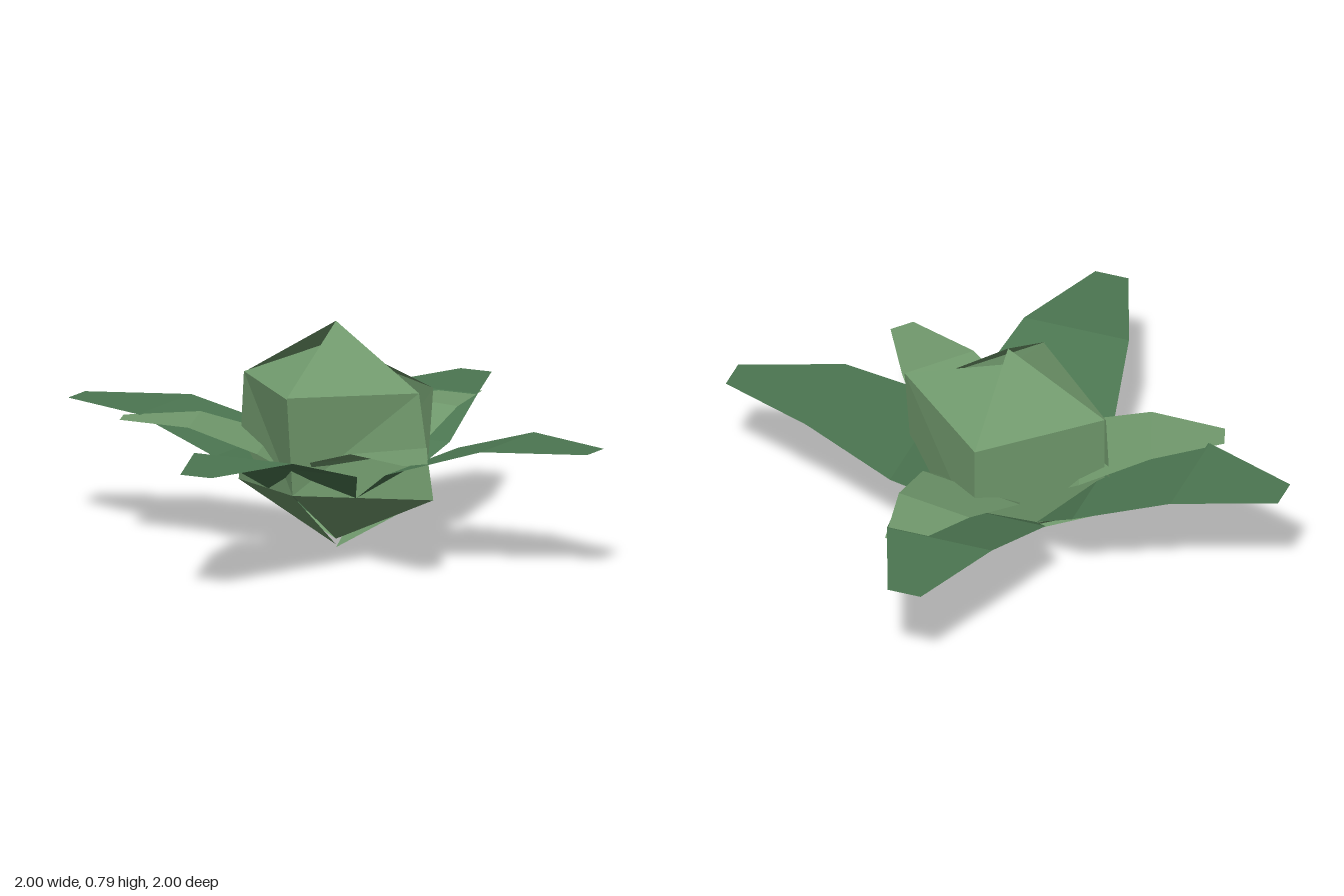
import * as THREE from 'three';

const headGreen = new THREE.MeshStandardMaterial({ color: 0x719a6d, flatShading: true, side: THREE.DoubleSide });
headGreen.name = 'light leaf green';
const leafGreen = new THREE.MeshStandardMaterial({ color: 0x4c7651, flatShading: true, side: THREE.DoubleSide });
leafGreen.name = 'dark leaf green';

// Faceted surface from points and triangle indices
function facets(points, index, material, name) {
  let g = new THREE.BufferGeometry();
  g.setAttribute('position', new THREE.Float32BufferAttribute(points.flat(), 3));
  g.setIndex(index);
  g = g.toNonIndexed();
  g.computeVertexNormals();
  const mesh = new THREE.Mesh(g, material);
  mesh.name = name;
  return mesh;
}

// Spreading leaf: cross rows of [distance, half width, height], pointing along +z
const leafRows = [[0, 0.07, -0.33], [0.33, 0.26, -0.1], [0.66, 0.19, 0], [1, 0.06, 0]];
function leaf(size, dirX, dirZ, height, material, name) {
  const points = [], index = [];
  leafRows.forEach(([d, w, y], i) => {
    points.push([-w, y, d], [w, y, d]);
    if (i) {
      const a = 2 * i - 2;
      index.push(a, a + 2, a + 1, a + 1, a + 2, a + 3);
    }
  });
  const mesh = facets(points, index, material, name);
  mesh.scale.setScalar(size);
  mesh.rotation.y = Math.atan2(dirX, dirZ);
  mesh.position.y = height;
  return mesh;
}

// Quarter of the head: a wrapped leaf between the x axis and the z axis
function wrap(sx, sz, top, upperX, upperZ, lowerX, lowerZ, bottom, name) {
  const points = [
    [0, top, 0],
    [sx * upperX[0], upperX[1], 0], [0, upperZ[1], sz * upperZ[0]],
    [sx * lowerX[0], lowerX[1], 0], [0, lowerZ[1], sz * lowerZ[0]],
    [0, bottom, 0],
  ];
  const index = [0, 2, 1, 1, 2, 4, 1, 4, 3, 3, 4, 5];
  if (sx * sz < 0) index.reverse();
  return facets(points, index, headGreen, name);
}

export function createModel() {
  const model = new THREE.Group();
  model.name = 'leafyPlant';

  // Slightly mismatched wrapped leaves form the closed head
  const head = new THREE.Group();
  head.name = 'head';
  head.add(
    wrap(1, 1, 0.785, [0.32, 0.565], [0.35, 0.58], [0.375, 0.2], [0.31, 0.235], 0.03, 'frontLeftWrap'),
    wrap(-1, 1, 0.718, [0.355, 0.575], [0.35, 0.575], [0.375, 0.2], [0.31, 0.235], 0.01, 'frontRightWrap'),
    wrap(1, -1, 0.72, [0.375, 0.59], [0.32, 0.565], [0.345, 0.2], [0.32, 0.225], 0, 'backLeftWrap'),
    wrap(-1, -1, 0.785, [0.35, 0.575], [0.32, 0.565], [0.35, 0.2], [0.32, 0.225], 0.03, 'backRightWrap'),
  );
  model.add(head);

  // Four large outer leaves
  [[0, 1], [1, 0], [0, -1], [-1, 0]].forEach(([x, z]) =>
    model.add(leaf(1, x, z, 0.43, leafGreen, 'outerLeaf')));

  // Three smaller leaves between them
  [[0.765, 0.643], [0.18, -0.98], [-0.94, 0.34]].forEach(([x, z]) =>
    model.add(leaf(0.735, x, z, 0.428, headGreen, 'smallLeaf')));

  return model;
}
